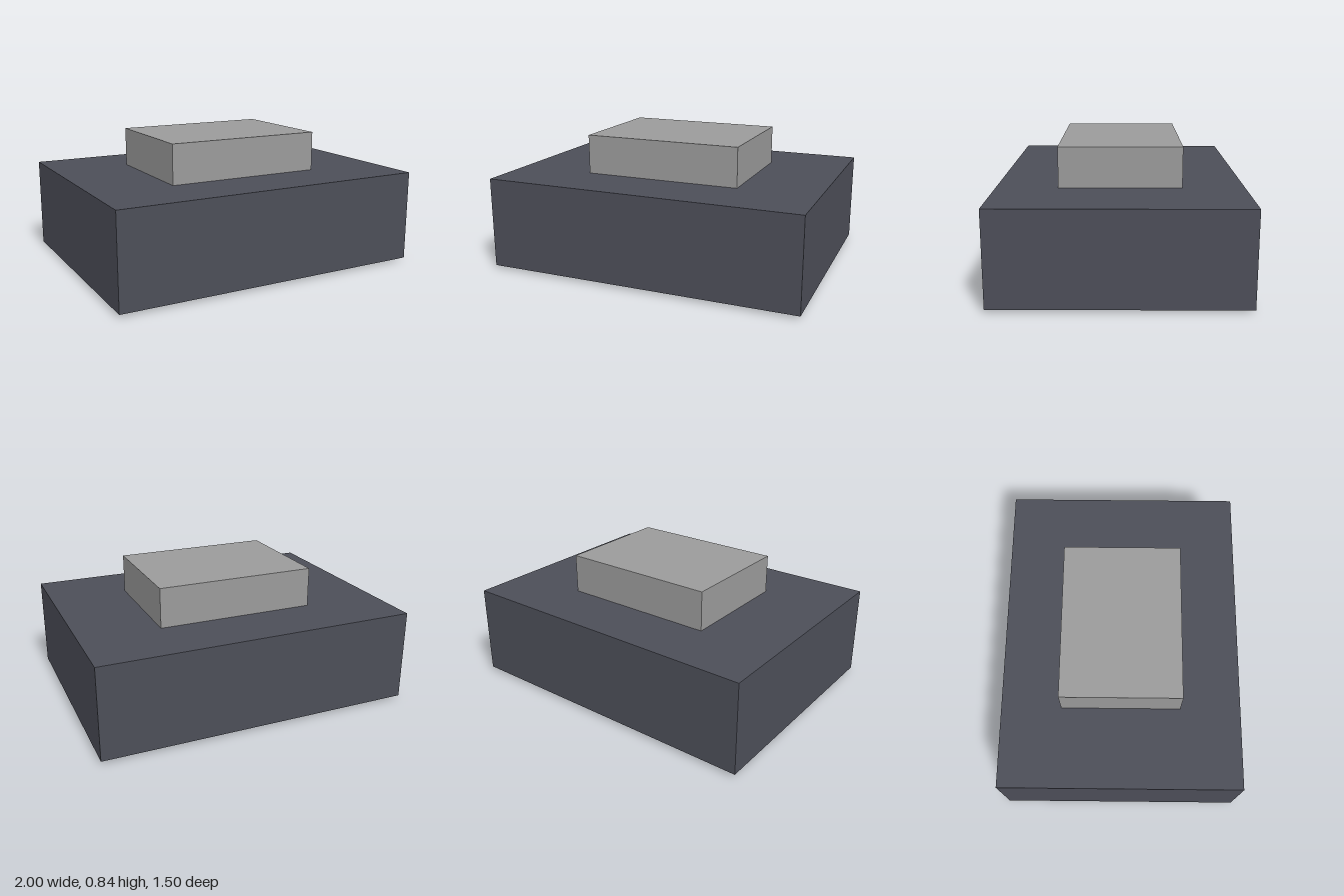
import * as THREE from 'three';

const bodyMaterial = new THREE.MeshStandardMaterial({ color: 0x4c4e58 });
bodyMaterial.name = 'darkSlate';
const metalMaterial = new THREE.MeshStandardMaterial({ color: 0x9a9a9a });
metalMaterial.name = 'paleMetal';

// Box spanning y0..y1, centred on the given x and on z = 0
function block(name, material, width, depth, y0, y1, x = 0) {
  const mesh = new THREE.Mesh(new THREE.BoxGeometry(width, y1 - y0, depth), material);
  mesh.position.set(x, (y0 + y1) / 2, 0);
  mesh.name = name;
  return mesh;
}

export function createModel() {
  const model = new THREE.Group();
  model.name = 'blockComponent';

  // Main body and raised block on top
  model.add(block('body', bodyMaterial, 2, 1.5, 0.018, 0.593));
  model.add(block('topBlock', metalMaterial, 1, 0.746, 0.593, 0.842));

  // Thin contact pads under the left and right ends
  for (const side of [1, -1]) {
    model.add(block(side > 0 ? 'leftPad' : 'rightPad', metalMaterial, 0.25, 0.75, 0, 0.018, side * 0.825));
  }
  return model;
}
